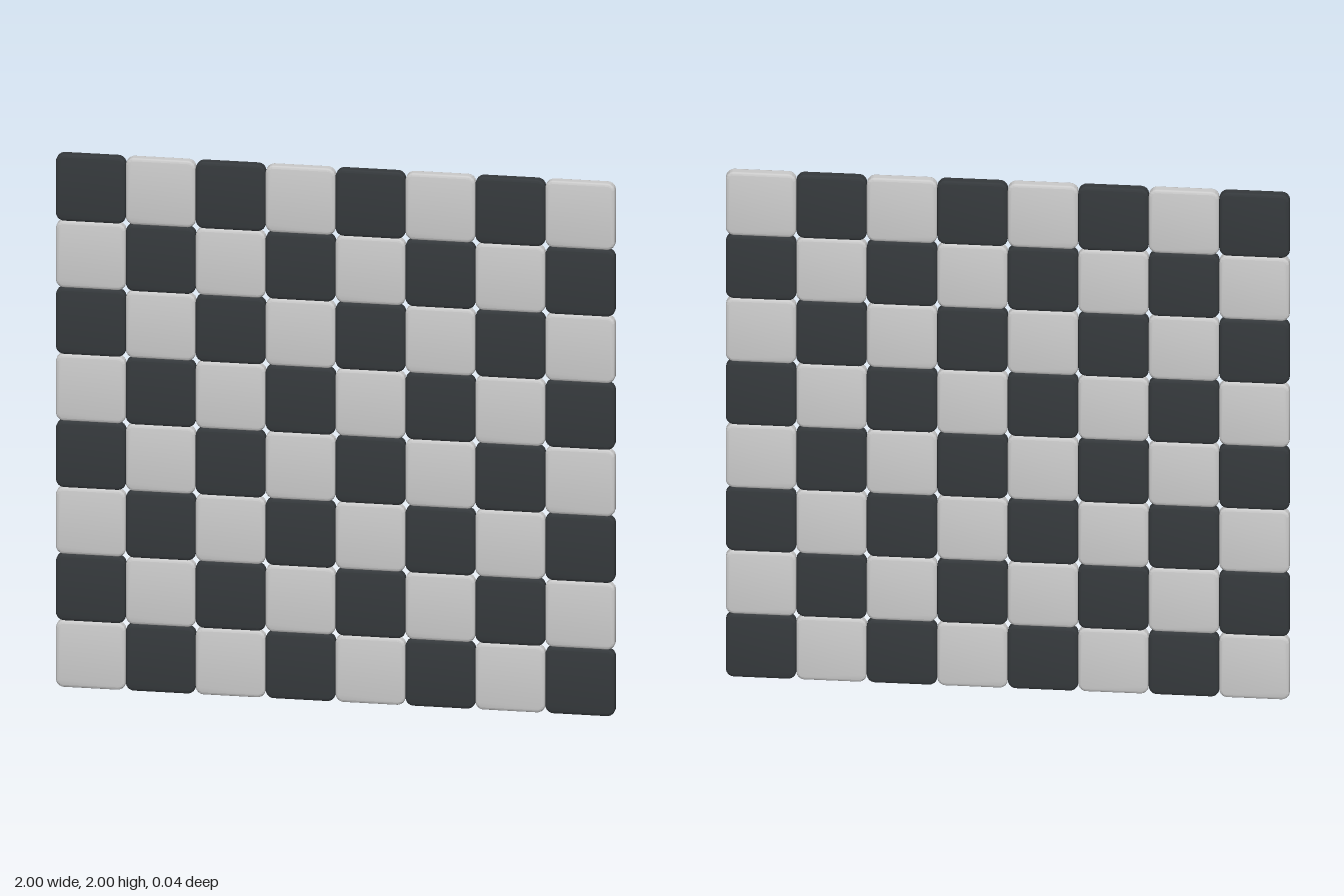
import * as THREE from 'three';
import { toCreasedNormals } from 'three/addons/utils/BufferGeometryUtils.js';

const COUNT = 8;
const TILE = 2 / COUNT;
const THICKNESS = 0.04;
const BEVEL = 0.01;
const CORNER = 0.03;

// Square outline with rounded corners, centred on the origin
function roundedSquare(half, r) {
  const s = new THREE.Shape();
  const c = half - r;
  s.absarc(c, c, r, 0, Math.PI / 2);
  s.absarc(-c, c, r, Math.PI / 2, Math.PI);
  s.absarc(-c, -c, r, Math.PI, Math.PI * 1.5);
  s.absarc(c, -c, r, Math.PI * 1.5, Math.PI * 2);
  return s;
}

// One pillowed tile, shared by the whole board
function tileGeometry() {
  const depth = THICKNESS - 2 * BEVEL;
  const geometry = new THREE.ExtrudeGeometry(roundedSquare(TILE / 2 - BEVEL, CORNER - BEVEL), {
    depth,
    bevelEnabled: true,
    bevelThickness: BEVEL,
    bevelSize: BEVEL,
    bevelSegments: 3,
    curveSegments: 5,
  });
  geometry.translate(0, 0, -depth / 2);
  return toCreasedNormals(geometry, 0.7);
}

export function createModel() {
  const board = new THREE.Group();
  board.name = 'checkerboard';
  const geometry = tileGeometry();
  const light = new THREE.MeshStandardMaterial({ color: 0xcccccc });
  const dark = new THREE.MeshStandardMaterial({ color: 0x35393c });

  // Rows run from the bottom up, columns from -x to +x
  for (let row = 0; row < COUNT; row++) {
    for (let col = 0; col < COUNT; col++) {
      const isDark = (row + col) % 2 === 1;
      const tile = new THREE.Mesh(geometry, isDark ? dark : light);
      tile.name = isDark ? 'darkTile' : 'lightTile';
      tile.position.set(-1 + (col + 0.5) * TILE, (row + 0.5) * TILE, 0);
      board.add(tile);
    }
  }
  return board;
}
